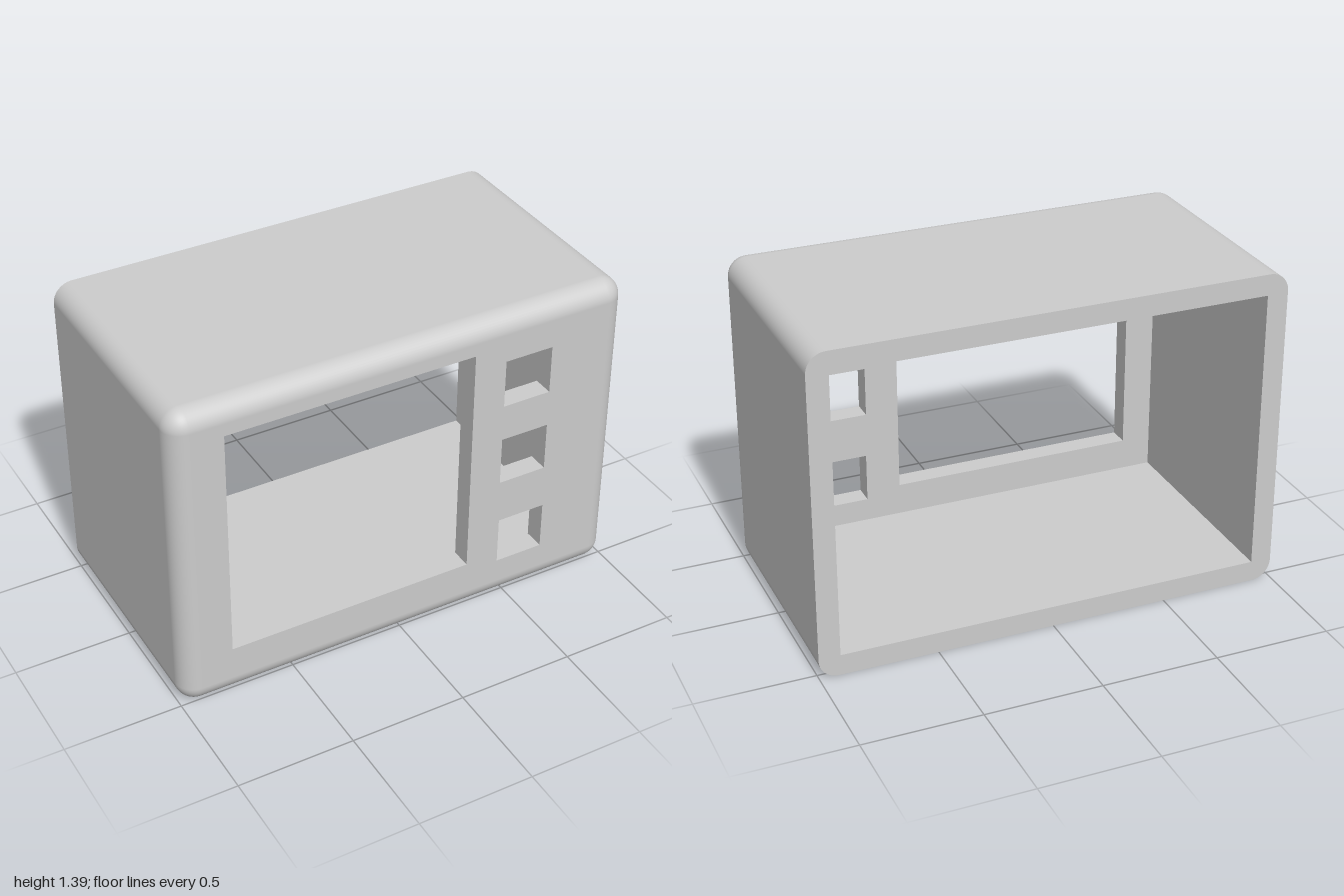
import * as THREE from 'three';

const W = 2, H = 1.395, D = 1.062, R = 0.083, T = 0.09;
const zBack = -D / 2, zFront = D / 2;

// Rectangles as [x0, y0, x1, y1]
const cavity = [-W / 2 + T, T, W / 2 - T, H - T];
const openings = {
  screenOpening: [-0.78, 0.228, 0.3, 1.258],
  upperOpening: [0.443, 0.975, 0.657, 1.188],
  middleOpening: [0.443, 0.598, 0.657, 0.813],
  lowerOpening: [0.449, 0.19, 0.663, 0.402],
};

const corners = ([x0, y0, x1, y1]) => [[x0, y0], [x1, y0], [x1, y1], [x0, y1]];
const toPoints = (list) => list.map(([x, y]) => new THREE.Vector2(x, y));

// Rounded outline, counter-clockwise: position plus outward direction
function outline(inset, radius, steps = 12) {
  const pts = [];
  const hw = W / 2 - inset - radius, hh = H / 2 - inset - radius;
  [[1, 1], [-1, 1], [-1, -1], [1, -1]].forEach(([sx, sy], k) => {
    for (let i = 0; i <= steps; i++) {
      const a = (k + i / steps) * Math.PI / 2;
      const nx = Math.cos(a), ny = Math.sin(a);
      pts.push({ x: sx * hw + radius * nx, y: H / 2 + sy * hh + radius * ny, nx, ny });
    }
  });
  return pts;
}

// Outer sides running into the rounded front edge
function skinGeometry() {
  const pos = [], nor = [], idx = [], steps = 12;
  const rings = [{ a: 0, z: zBack }];
  for (let i = 0; i <= steps; i++) {
    const a = (i / steps) * Math.PI / 2;
    rings.push({ a, z: zFront - R + R * Math.sin(a) });
  }
  let n = 0;
  rings.forEach(({ a, z }, i) => {
    const c = Math.cos(a), s = Math.sin(a);
    const loop = outline(R * (1 - c), R * c);
    n = loop.length;
    loop.forEach((p, j) => {
      pos.push(p.x, p.y, z);
      nor.push(p.nx * c, p.ny * c, s);
      if (i === 0) return;
      const k = (j + 1) % n, lo = (i - 1) * n, hi = i * n;
      idx.push(lo + j, lo + k, hi + j, lo + k, hi + k, hi + j);
    });
  });
  const g = new THREE.BufferGeometry();
  g.setAttribute('position', new THREE.Float32BufferAttribute(pos, 3));
  g.setAttribute('normal', new THREE.Float32BufferAttribute(nor, 3));
  g.setIndex(idx);
  return g;
}

// Four inward-facing walls of a rectangular tunnel
function tunnelGeometry(rect, z0, z1) {
  const c = corners(rect), pos = [];
  c.forEach(([px, py], i) => {
    const [qx, qy] = c[(i + 1) % 4];
    pos.push(px, py, z0, px, py, z1, qx, qy, z0);
    pos.push(qx, qy, z0, px, py, z1, qx, qy, z1);
  });
  const g = new THREE.BufferGeometry();
  g.setAttribute('position', new THREE.Float32BufferAttribute(pos, 3));
  g.computeVertexNormals();
  return g;
}

// Flat panel with rectangular holes
function panelGeometry(points, holes) {
  const shape = new THREE.Shape(toPoints(points));
  holes.forEach((h) => shape.holes.push(new THREE.Path(toPoints(corners(h).reverse()))));
  return new THREE.ShapeGeometry(shape);
}

// Mirrored in x and turned round, so the panel faces backwards in place
function faceBack(g) {
  const idx = g.index.array;
  for (let i = 0; i < idx.length; i += 3) [idx[i], idx[i + 1]] = [idx[i + 1], idx[i]];
  g.computeVertexNormals();
  return g;
}

export function createModel() {
  const group = new THREE.Group();
  group.name = 'casing';
  const grey = new THREE.MeshStandardMaterial({ color: 0xcccccc });
  grey.name = 'casing grey';

  const add = (name, geometry, z = 0) => {
    const mesh = new THREE.Mesh(geometry, grey);
    mesh.name = name;
    mesh.position.z = z;
    group.add(mesh);
  };

  const holes = Object.values(openings);
  const frontRect = [-W / 2 + R, R, W / 2 - R, H - R];

  add('outerShell', skinGeometry());
  add('frontPanel', panelGeometry(corners(frontRect), holes), zFront);
  add('frontPanelInside', faceBack(panelGeometry(corners(cavity), holes)), zFront - T);
  add('cavityWalls', tunnelGeometry(cavity, zBack, zFront - T));

  // Open back rim
  const rim = outline(0, R).map((p) => [p.x, p.y]);
  add('backRim', faceBack(panelGeometry(rim, [cavity])), zBack);

  // Edges of the front openings
  for (const [name, rect] of Object.entries(openings)) {
    add(name, tunnelGeometry(rect, zFront - T, zFront));
  }
  return group;
}
